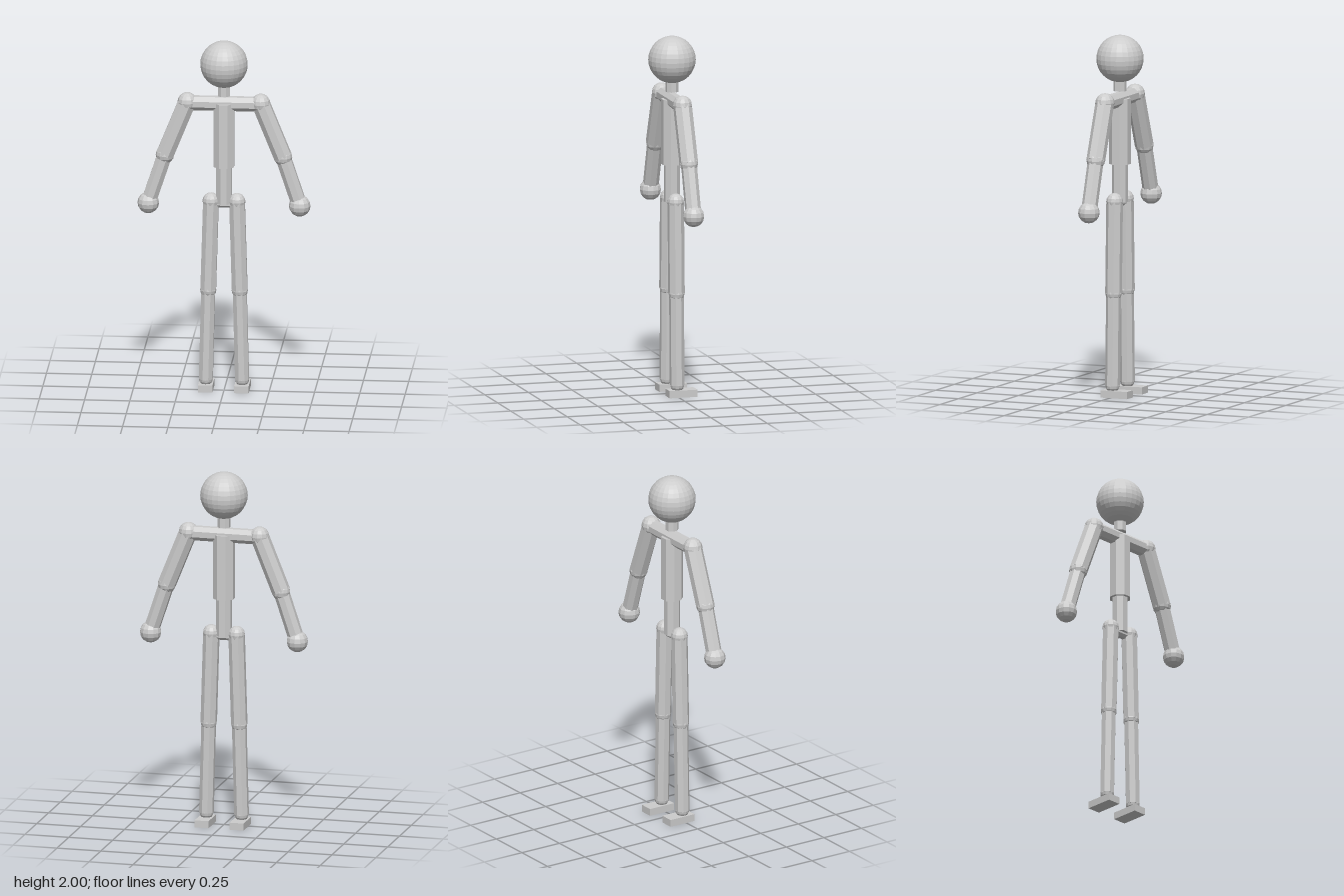
import * as THREE from 'three';

export function createModel() {
  const model = new THREE.Group();
  model.name = 'jointedFigure';
  const grey = new THREE.MeshStandardMaterial({ color: 0xcccccc, flatShading: true });
  grey.name = 'plainGrey';

  const add = (name, geometry, x, y, z = 0) => {
    const mesh = new THREE.Mesh(geometry, grey);
    mesh.name = name;
    mesh.position.set(x, y, z);
    model.add(mesh);
    return mesh;
  };
  const ball = (name, [x, y], r, w = 12, h = 8) =>
    add(name, new THREE.SphereGeometry(r, w, h), x, y);

  // Eight-sided rod between two points in the x-y plane, a flat side to the front
  const rod = (name, [x0, y0], [x1, y1], r) => {
    const dx = x1 - x0, dy = y1 - y0;
    const geometry = new THREE.CylinderGeometry(r, r, Math.hypot(dx, dy), 8);
    geometry.rotateY(Math.PI / 8);
    add(name, geometry, (x0 + x1) / 2, (y0 + y1) / 2).rotation.z = Math.atan2(-dx, dy);
  };

  // Head and trunk
  ball('head', [0, 1.87], 0.131, 24, 16);
  rod('neck', [0, 1.69], [0, 1.78], 0.036);
  rod('chest', [0, 1.285], [0, 1.65], 0.061);
  rod('waist', [0, 1.075], [0, 1.3], 0.045);
  rod('shoulderBar', [-0.2, 1.645], [0.2, 1.645], 0.042);
  rod('hipBar', [-0.07, 1.075], [0.07, 1.075], 0.027);

  for (const [side, s] of [['left', 1], ['right', -1]]) {
    // Arm
    const shoulder = [s * 0.203, 1.65], elbow = [s * 0.326, 1.345], hand = [s * 0.418, 1.068];
    ball(side + 'Shoulder', shoulder, 0.054);
    rod(side + 'UpperArm', shoulder, elbow, 0.052);
    ball(side + 'Elbow', elbow, 0.051);
    rod(side + 'Forearm', elbow, hand, 0.044);
    ball(side + 'Hand', hand, 0.06);

    // Leg
    const hip = [s * 0.072, 1.085], knee = [s * 0.087, 0.575], ankle = [s * 0.1, 0.065];
    ball(side + 'Hip', hip, 0.047);
    rod(side + 'Thigh', hip, knee, 0.046);
    ball(side + 'Knee', knee, 0.045);
    rod(side + 'Shin', knee, ankle, 0.041);
    ball(side + 'Ankle', ankle, 0.039);
    add(side + 'Foot', new THREE.BoxGeometry(0.08, 0.04, 0.16), s * 0.1, 0.02, -0.025);
  }
  return model;
}
